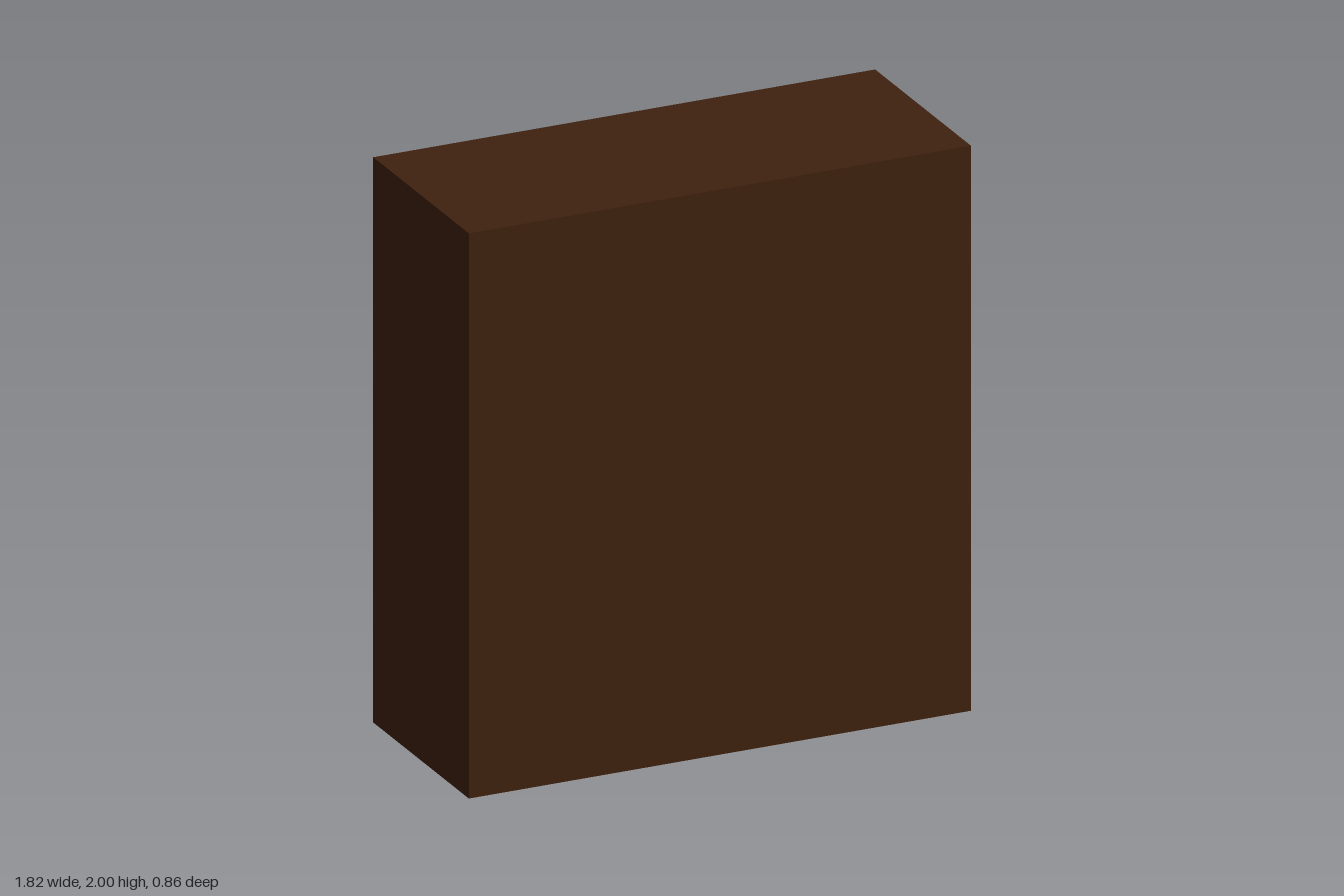
import * as THREE from 'three';

export function createModel() {
  const model = new THREE.Group();
  model.name = 'wardrobe';
  const mat = (name, color) => {
    const m = new THREE.MeshStandardMaterial({ color });
    m.name = name;
    return m;
  };
  const wood = mat('dark wood', 0x40220f);
  const metal = mat('pale grey', 0xd2d2d0);
  const copper = mat('copper base', 0xd28d6e);

  // Box given by its minimum and maximum on each axis
  const slab = (parent, name, material, [x0, x1], [y0, y1], [z0, z1]) => {
    const mesh = new THREE.Mesh(new THREE.BoxGeometry(x1 - x0, y1 - y0, z1 - z0), material);
    mesh.position.set((x0 + x1) / 2, (y0 + y1) / 2, (z0 + z1) / 2);
    mesh.name = name;
    parent.add(mesh);
    return mesh;
  };

  const W = 0.91, IN = 0.845, OPEN = -0.31, BACK = 0.39, END = 0.43;
  const FLOOR = 0.05, CEIL = 1.934;

  // Carcass, open towards -z
  slab(model, 'leftSide', wood, [IN, W], [0, 2], [OPEN, BACK]);
  slab(model, 'rightSide', wood, [-W, -IN], [0, 2], [OPEN, BACK]);
  slab(model, 'top', wood, [-IN, IN], [CEIL, 2], [OPEN, BACK]);
  slab(model, 'bottom', wood, [-IN, IN], [0, FLOOR], [OPEN, BACK]);
  slab(model, 'closingPanel', wood, [-W, W], [0, 2], [BACK, END]);
  slab(model, 'divider', wood, [-0.265, -0.225], [FLOOR, CEIL], [OPEN, BACK]);

  // Wide compartment shelves
  for (const top of [0.405, 1.537]) {
    slab(model, 'wideShelf', wood, [-0.225, IN], [top - 0.03, top], [-0.295, BACK]);
  }
  // Narrow compartment shelves, set back from the opening
  for (const top of [0.552, 1.014, 1.476]) {
    slab(model, 'narrowShelf', wood, [-IN, -0.265], [top - 0.033, top], [-0.22, BACK]);
  }

  // Hanging rail with an end flange on each wall
  const rail = new THREE.Group();
  rail.name = 'hangingRail';
  const rod = (name, r, x0, x1) => {
    const mesh = new THREE.Mesh(new THREE.CylinderGeometry(r, r, x1 - x0, 24), metal);
    mesh.rotation.z = Math.PI / 2;
    mesh.position.x = (x0 + x1) / 2;
    mesh.name = name;
    rail.add(mesh);
  };
  rod('rod', 0.016, -0.225, IN);
  rod('rightFlange', 0.028, -0.225, -0.21);
  rod('leftFlange', 0.028, IN - 0.015, IN);
  rail.position.set(0, 1.4, -0.01);
  model.add(rail);

  // Drawers, the lower one pulled out
  const addDrawer = (name, y, z) => {
    const d = new THREE.Group();
    d.name = name;
    slab(d, 'drawerFace', metal, [-0.19, 0.8], [0, 0.122], [0, 0.01]);
    slab(d, 'drawerRightSide', metal, [-0.17, -0.145], [0.026, 0.1], [0.01, 0.62]);
    slab(d, 'drawerLeftSide', metal, [0.75, 0.775], [0.026, 0.1], [0.01, 0.62]);
    slab(d, 'drawerRearWall', metal, [-0.145, 0.75], [0.026, 0.1], [0.605, 0.62]);
    slab(d, 'drawerBase', copper, [-0.17, 0.775], [0.014, 0.026], [0.01, 0.62]);
    d.position.set(0, y, z);
    model.add(d);
  };
  addDrawer('lowerDrawer', 0.075, -0.43);
  addDrawer('upperDrawer', 0.222, -0.28);

  return model;
}
